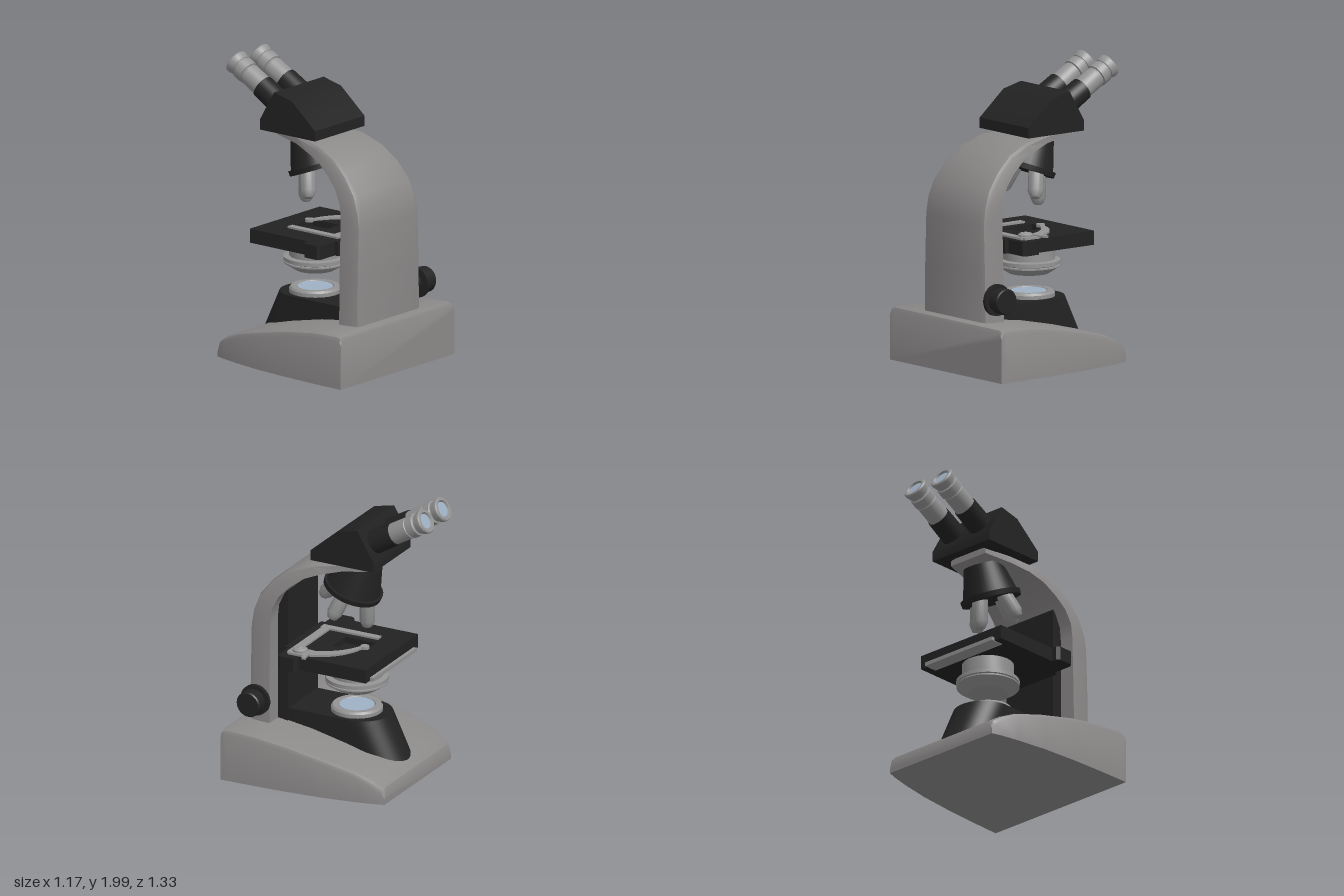
import * as THREE from 'three';
import { toCreasedNormals } from 'three/addons/utils/BufferGeometryUtils.js';

const mat = (name, color) => Object.assign(new THREE.MeshStandardMaterial({ color }), { name });

export function createModel() {
  const body = mat('body grey', 0x8c8989);
  const metal = mat('light metal', 0x949393);
  const black = mat('black', 0x222222);
  const glass = mat('lens blue', 0x9db0c4);
  const root = new THREE.Group();

  const add = (name, geo, material, parent = root) => {
    const mesh = new THREE.Mesh(toCreasedNormals(geo, 0.55), material);
    mesh.name = name;
    parent.add(mesh);
    return mesh;
  };
  const group = (name, x, y, z, parent = root) => {
    const g = new THREE.Group();
    g.name = name;
    g.position.set(x, y, z);
    parent.add(g);
    return g;
  };
  const cyl = (rTop, rBottom, h, x = 0, y = 0, z = 0) =>
    new THREE.CylinderGeometry(rTop, rBottom, h, 32).translate(x, y, z);
  const box = (w, h, d, x, y, z) => new THREE.BoxGeometry(w, h, d).translate(x, y, z);
  const lathe = (pts) => new THREE.LatheGeometry(pts.map((p) => new THREE.Vector2(...p)), 36);
  const poly = (pts) => new THREE.Shape(pts.map((p) => new THREE.Vector2(...p)));
  // side profile in (z, y), extruded across x
  const across = (pts, half) =>
    new THREE.ExtrudeGeometry(poly(pts), { depth: 2 * half, bevelEnabled: false })
      .rotateY(-Math.PI / 2).translate(half, 0, 0);
  // plan shape in (x, z), extruded from y0 to y1
  const slab = (shape, y0, y1) =>
    new THREE.ExtrudeGeometry(shape, { depth: y1 - y0, bevelEnabled: false, curveSegments: 20 })
      .rotateX(Math.PI / 2).translate(0, y1, 0);

  // closed skin over equal-length loops of points
  const loft = (loops) => {
    const n = loops[0].length, idx = [], last = (loops.length - 1) * n;
    for (let i = 0; i < loops.length - 1; i++)
      for (let j = 0; j < n; j++) {
        const a = i * n + j, b = i * n + (j + 1) % n;
        idx.push(a, a + n, b, b, a + n, b + n);
      }
    for (let j = 1; j < n - 1; j++) idx.push(0, j, j + 1, last, last + j + 1, last + j);
    const g = new THREE.BufferGeometry();
    g.setAttribute('position', new THREE.Float32BufferAttribute(loops.flat(2), 3));
    g.setIndex(idx);
    return g;
  };

  // base: sections [z, half width, height] with rounded top edges
  add('base', loft([
    [0.67, 0.585, 0.33], [0.66, 0.585, 0.352], [0.63, 0.585, 0.362], [0.43, 0.58, 0.352],
    [0.19, 0.568, 0.318], [-0.07, 0.545, 0.262], [-0.286, 0.51, 0.206], [-0.41, 0.483, 0.15],
    [-0.475, 0.463, 0.108], [-0.49, 0.457, 0.072],
  ].map(([z, w, h]) => {
    const b = 0.036, half = [[w, h - b], [w - 0.3 * b, h - 0.3 * b], [w - b, h]];
    return [[-w, 0, z], [w, 0, z], ...half.map(([x, y]) => [x, y, z]),
      ...half.reverse().map(([x, y]) => [-x, y, z])];
  })), body);

  // arm: sections [outer z, outer y, inner z, inner y, half width]
  add('arm', loft([
    [0.603, 0.3, 0.444, 0.3, 0.33], [0.603, 0.7, 0.444, 0.7, 0.324], [0.603, 1.01, 0.444, 1.07, 0.313],
    [0.587, 1.117, 0.434, 1.16, 0.31], [0.545, 1.233, 0.39, 1.25, 0.3], [0.455, 1.349, 0.32, 1.325, 0.285],
    [0.339, 1.444, 0.22, 1.4, 0.265], [0.19, 1.508, 0.11, 1.444, 0.243], [-0.02, 1.534, -0.03, 1.478, 0.2],
    [-0.227, 1.54, -0.227, 1.497, 0.155],
  ].map(([zo, yo, zi, yi, w]) => {
    const at = (x, t) => [x, yi + (yo - yi) * t, zi + (zo - zi) * t];
    return [at(-w, 0), at(w, 0), at(w, 0.7), at(w - 0.012, 0.92), at(w - 0.04, 1),
      at(0.04 - w, 1), at(0.012 - w, 0.92), at(-w, 0.7)];
  })), body);
  add('column', across([[0.37, 0.33], [0.5, 0.33], [0.5, 1.1], [0.42, 1.27], [0.37, 1.3]], 0.21), black);

  // lamp housing with a sloping round front
  const lampPlan = new THREE.Shape();
  lampPlan.moveTo(0.2, 0.45);
  lampPlan.lineTo(-0.2, 0.45);
  lampPlan.lineTo(-0.2, -0.08);
  lampPlan.absarc(0, -0.08, 0.2, Math.PI, Math.PI * 2, false);
  const lamp = slab(lampPlan, 0.08, 0.43);
  const lp = lamp.attributes.position;
  for (let i = 0; i < lp.count; i++)
    if (lp.getZ(i) < 0) lp.setZ(i, lp.getZ(i) - (0.43 - lp.getY(i)) * 0.48);
  add('lampHousing', lamp, black);
  const light = group('lamp', 0, 0.43, -0.035);
  add('lampRing', lathe([[0.172, -0.01], [0.172, 0.025], [0.16, 0.04], [0.125, 0.04], [0.118, 0.03], [0, 0.03]]), metal, light);
  add('lampLens', cyl(0.117, 0.117, 0.006, 0, 0.034), glass, light);

  // focus knob on the left side
  const knob = group('focusKnob', 0, 0.515, 0.53);
  knob.rotation.z = -Math.PI / 2;
  add('knobShaft', cyl(0.055, 0.055, 0.08, 0, 0.32), black, knob);
  add('knobFlange', cyl(0.106, 0.106, 0.025, 0, 0.362), black, knob);
  add('knobGrip', lathe([[0, 0.37], [0.078, 0.37], [0.078, 0.395], [0.087, 0.4], [0.087, 0.46], [0.08, 0.47], [0, 0.47]]), black, knob);

  // stage: lower slab, upper slab with an opening, rounded wings at the rear
  const plan = () => poly([[-0.36, -0.296], [0.36, -0.296], [0.36, 0.2], [0.395, 0.2], [0.415, 0.22],
    [0.415, 0.32], [0.395, 0.34], [0.25, 0.34], [0.25, 0.37], [-0.25, 0.37], [-0.25, 0.34],
    [-0.395, 0.34], [-0.415, 0.32], [-0.415, 0.22], [-0.395, 0.2], [-0.36, 0.2]]);
  const top = plan();
  top.holes.push(poly([[-0.09, -0.13], [-0.09, 0.1], [0.09, 0.1], [0.09, -0.13]]));
  add('stageLower', slab(plan(), 0.79, 0.84), black);
  add('stageTop', slab(top, 0.84, 0.885), black);
  add('stageRail', box(0.6, 0.026, 0.1, 0, 0.8, -0.27), metal);

  // slide holder
  add('holderSideBar', box(0.05, 0.014, 0.43, -0.165, 0.891, 0.1), metal);
  add('holderBackBar', box(0.53, 0.014, 0.06, 0.075, 0.891, 0.275), metal);
  add('holderPlate', box(0.11, 0.016, 0.13, 0.305, 0.892, 0.225), metal);
  add('holderPivot', lathe([[0, 0.895], [0.05, 0.895], [0.05, 0.912], [0.035, 0.922], [0.018, 0.922], [0.015, 0.926], [0, 0.926]])
    .translate(0.295, 0, 0.23), metal);
  const finger = new THREE.Shape();
  finger.moveTo(0.34, 0.15);
  finger.quadraticCurveTo(0.27, -0.07, 0.04, -0.11);
  finger.lineTo(0.04, -0.085);
  finger.quadraticCurveTo(0.22, -0.01, 0.27, 0.18);
  add('holderFinger', slab(finger, 0.888, 0.902), metal);
  add('holderLever', slab(poly([[0.3, 0.15], [0.41, 0.13], [0.418, 0.155], [0.36, 0.175], [0.3, 0.19]]), 0.894, 0.908), metal);
  add('holderTip', cyl(0.03, 0.03, 0.02, 0.03, 0.895, -0.11), metal);

  // condenser under the stage
  add('condenser', lathe([[0, 0.585], [0.135, 0.585], [0.208, 0.632], [0.208, 0.642], [0.198, 0.645], [0.21, 0.65],
    [0.21, 0.675], [0.172, 0.68], [0.172, 0.79], [0, 0.79]]).translate(0, 0, -0.035), metal);

  // tilted nosepiece with four objectives
  const nose = group('nosepiece', 0, 1.285, -0.005);
  nose.rotation.x = -0.363;
  add('turretBody', cyl(0.13, 0.188, 0.22, 0, 0.12), black, nose);
  add('turretRing', cyl(0.203, 0.2, 0.035, 0, 0.005), black, nose);
  [0.212, 0.19, 0.18, 0.19].forEach((len, k) => {
    const turn = group('objective', 0, 0, 0, nose);
    turn.rotation.y = k * Math.PI / 2;
    const tilt = group('objectiveTilt', 0, 0, -0.115, turn);
    tilt.rotation.x = 0.363;
    add('objectiveBarrel', lathe([[0, -len], [0.028, -len], [0.035, -len + 0.008], [0.052, -len + 0.045],
      [0.052, 0.02], [0, 0.02]]), metal, tilt);
  });

  // viewing head
  add('head', across([[0.175, 1.54], [0.175, 1.61], [-0.026, 1.78], [-0.175, 1.815], [-0.296, 1.61], [-0.296, 1.54]], 0.255), black);

  // pair of eyepieces
  for (const side of [-1, 1]) {
    const eye = group('eyepiece', side * 0.119, 1.79, -0.386);
    eye.rotation.x = -Math.PI / 3;
    add('eyepieceSleeve', cyl(0.08, 0.084, 0.22, 0, -0.11), black, eye);
    add('eyepieceTube', lathe([[0.073, -0.01], [0.073, 0.13], [0.068, 0.134], [0.068, 0.142], [0.079, 0.146], [0.079, 0.2],
      [0.068, 0.206], [0.068, 0.216], [0.074, 0.22], [0.083, 0.25], [0.083, 0.264], [0.077, 0.272],
      [0.06, 0.272], [0.052, 0.254], [0, 0.254]]), metal, eye);
    add('eyepieceLens', cyl(0.052, 0.052, 0.005, 0, 0.258), glass, eye);
  }
  return root;
}
